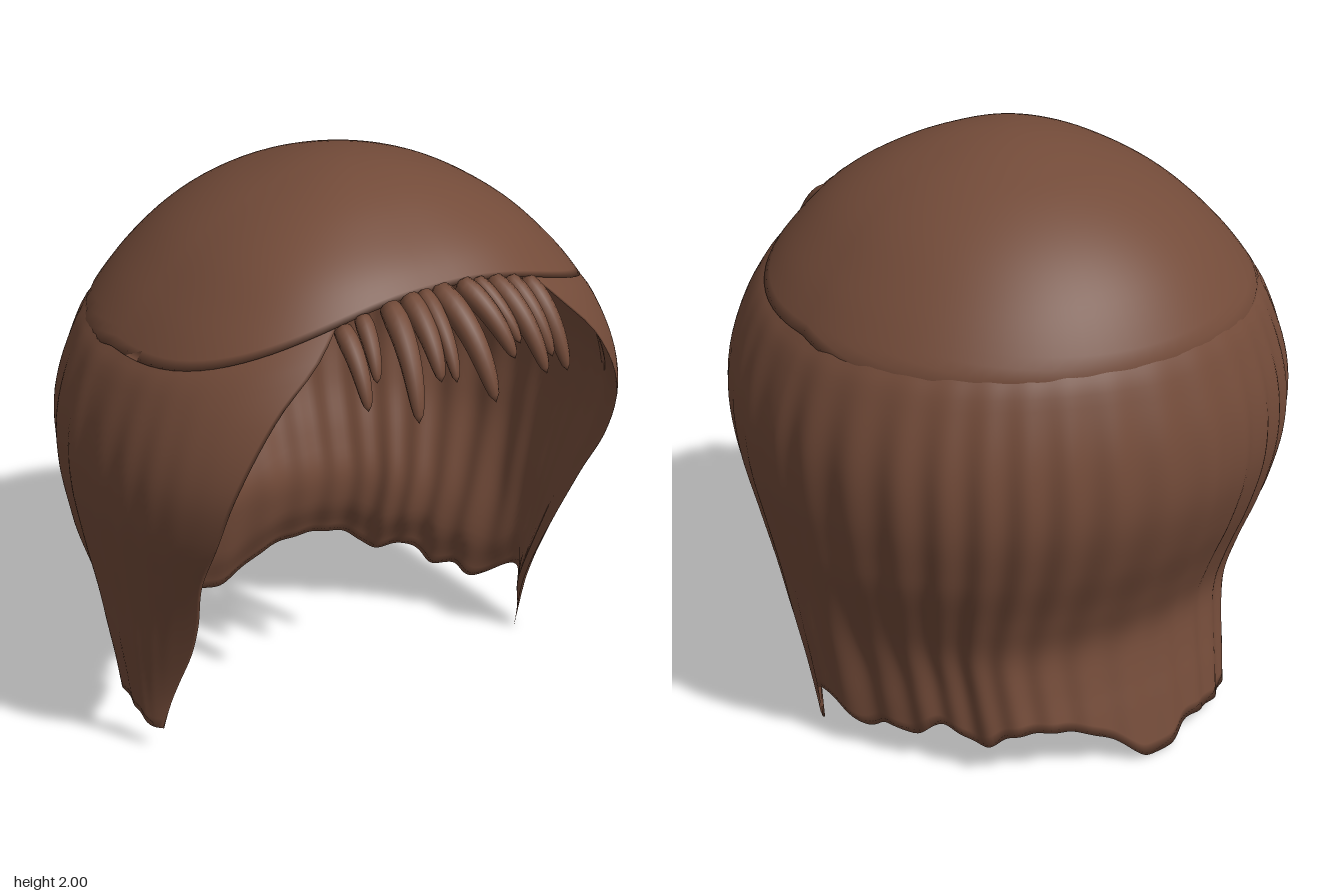
import * as THREE from 'three';
import { mergeVertices } from 'three/addons/utils/BufferGeometryUtils.js';

// Head form per height: y, half width, back depth, front depth, half width of the face opening
const FORM = [
  [2.0, 0, 0, 0, 0], [1.95, 0.27, 0.28, 0.27, 0.1], [1.9, 0.39, 0.41, 0.38, 0.16], [1.8, 0.55, 0.57, 0.54, 0.27],
  [1.7, 0.66, 0.67, 0.64, 0.36], [1.6, 0.75, 0.735, 0.72, 0.45], [1.45, 0.85, 0.8, 0.81, 0.6],
  [1.2, 0.935, 0.87, 0.84, 0.73], [1.0, 0.94, 0.87, 0.76, 0.755], [0.8, 0.91, 0.81, 0.62, 0.75],
  [0.6, 0.875, 0.72, 0.49, 0.72], [0.45, 0.855, 0.67, 0.39, 0.71], [0.3, 0.83, 0.69, 0.3, 0.72],
  [0.2, 0.815, 0.715, 0.25, 0.73], [0, 0.785, 0.76, 0.2, 0.75],
];
// Ragged hem: angle from the front round the model's left, and height
const HEM = [
  [1.2, 0], [1.35, 0.03], [1.57, 0.12], [1.7, 0.2], [1.85, 0.1], [1.98, 0.13], [2.1, 0.11], [2.28, 0.17], [2.45, 0.12],
  [2.6, 0.17], [2.85, 0.16], [3.0, 0.1], [3.14, 0.01], [3.27, 0.01], [3.4, 0.06], [3.55, 0.05], [3.8, 0.06],
  [4.0, 0.12], [4.15, 0.17], [4.35, 0.14], [4.55, 0.19], [4.75, 0.15], [4.92, 0.1], [5.083, 0.09],
];

const spline = (keys, rows) => {
  const curve = new THREE.CubicInterpolant(keys, rows.flat(), rows[0].length, new Float32Array(rows[0].length));
  return (t) => Array.from(curve.evaluate(t));
};
const formAt = spline(FORM.map((r) => Math.sqrt(2 - r[0])), FORM.map((r) => r.slice(1)));
const hemAt = spline(HEM.map((h) => (h[0] - 1.2) / 3.883), HEM.map((h) => [h[1]]));
const form = (y) => formAt(Math.sqrt(Math.max(0, 2 - y)));
const { lerp, smoothstep } = THREE.MathUtils;

// Point on the head form, moved inward by depth; squarer at the front than at the back
function headPoint(phi, y, depth) {
  const [a, back, front] = form(y);
  const s = Math.sin(phi), c = Math.cos(phi), k = 1 - depth / 0.9;
  const e = c > 0 ? 0.8 : 1;
  const x = a * Math.sign(s) * Math.abs(s) ** e;
  const z = (c > 0 ? front : -back) * Math.abs(c) ** e + 0.07 * Math.max(0, (y - 1.5) / 0.5);
  return [x * k, y > 1.2 ? 1.2 + (y - 1.2) * k : y, z * k];
}

// Smooth surface over a grid of u, v in 0..1
function surface(nu, nv, point) {
  const pos = [], index = [];
  for (let i = 0; i <= nu; i++) for (let j = 0; j <= nv; j++) pos.push(...point(i / nu, j / nv));
  for (let i = 0; i < nu; i++) for (let j = 0; j < nv; j++) {
    const a = i * (nv + 1) + j, b = a + nv + 1;
    index.push(a, a + 1, b, b, a + 1, b + 1);
  }
  const geo = new THREE.BufferGeometry();
  geo.setAttribute('position', new THREE.Float32BufferAttribute(pos, 3));
  geo.setIndex(index);
  const smooth = mergeVertices(geo, 1e-5);
  smooth.computeVertexNormals();
  return smooth;
}

// Cap edge height: high over the forehead, level at the sides and back
const rim = (phi) => 1.5 + 0.24 * Math.max(0, Math.cos(phi)) ** 2;

// Cap: outer dome to the rim, then back up the inside
function capPoint(u, v) {
  const phi = u * Math.PI * 2;
  const t = v < 0.5 ? v * 2 : 2 - v * 2;
  const low = rim(phi) - 0.15 * Math.max(0, -Math.cos(phi));
  const y = 2 - (2 - low) * t * t;
  const tuck = 0.03 * smoothstep(1.5 - y, 0, 0.08);
  const lip = 0.05 * smoothstep(1 - t, 0, 0.15);
  return headPoint(phi, y, v < 0.5 ? tuck : tuck + lip);
}

// Hanging hair: outside down to the hem, then back up the inside
function curtainPoint(u, v) {
  const t = v < 0.5 ? v * 2 : 2 - v * 2;
  const top = rim(lerp(0.5, Math.PI * 2 - 0.5, u)) + 0.04;
  const y = lerp(top, hemAt(u)[0], t);
  const [a, , , open] = form(y);
  const edge = Math.asin(Math.min(0.985, open / a) ** 1.25);
  const phi = lerp(edge, Math.PI * 2 - edge, u);
  const side = Math.min(u, 1 - u);
  // Locks, a hollow behind each front lock, and the top tucked under the cap
  const locks = 0.007 * Math.sin(phi * 38 + 1.5 * Math.sin(phi * 5)) * smoothstep(1.6 - y, 0, 0.5) * smoothstep(side, 0, 0.22);
  const around = Math.min(phi, Math.PI * 2 - phi);
  const hollow = 0.075 * Math.exp(-(((around - 2.1) / 0.36) ** 4)) * smoothstep(0.8 - y, 0, 0.5);
  const tuck = 0.016 * (1 - smoothstep(t, 0, 0.07));
  const thick = 0.04 * smoothstep(side, 0, 0.04) * smoothstep(1 - t, 0, 0.12);
  return headPoint(phi, y, locks + hollow + tuck - 0.003 + (v < 0.5 ? 0 : thick));
}

// Fringe strand: a bent tube narrowed to a blunt tip
function strandGeometry(rootX, tipX, tipY, tipZ, width) {
  const rootY = 1.745 - 0.5 * rootX * rootX;
  const root = new THREE.Vector3(rootX, rootY, 0.62 - 0.15 * rootX * rootX);
  const tip = new THREE.Vector3(tipX, tipY, tipZ);
  const bend = new THREE.Vector3(lerp(rootX, tipX, 0.5), rootY - 0.06, lerp(root.z, tipZ, 0.72));
  const curve = new THREE.QuadraticBezierCurve3(root, bend, tip);
  const rings = 16, sides = 10;
  const geo = new THREE.TubeGeometry(curve, rings, width, sides);
  const pos = geo.attributes.position, p = new THREE.Vector3();
  for (let i = 0; i <= rings; i++) {
    const t = i / rings, c = curve.getPointAt(t);
    const k = i ? Math.min(1, 0.8 + t) * (1 - 0.55 * t * t) * Math.sqrt(Math.max(0, 1 - t ** 12)) : 0;
    for (let j = 0; j <= sides; j++) {
      const n = i * (sides + 1) + j;
      p.fromBufferAttribute(pos, n).sub(c).multiplyScalar(k).add(c);
      pos.setXYZ(n, p.x, p.y, p.z);
    }
  }
  geo.deleteAttribute('uv');
  geo.deleteAttribute('normal');
  const smooth = mergeVertices(geo, 1e-5);
  smooth.computeVertexNormals();
  return smooth;
}

export function createModel() {
  const group = new THREE.Group();
  const brown = new THREE.MeshStandardMaterial({ color: 0x734b39 });
  brown.name = 'brown';
  const add = (name, geo, parent = group) => {
    const mesh = new THREE.Mesh(geo, brown);
    mesh.name = name;
    parent.add(mesh);
  };

  add('cap', surface(96, 64, capPoint));
  add('hangingHair', surface(260, 80, curtainPoint));

  // Fringe: root x, tip x, tip y, tip z, half thickness
  const fringe = new THREE.Group();
  fringe.name = 'fringe';
  group.add(fringe);
  [
    [-0.35, -0.36, 1.47, 0.78, 0.034], [-0.28, -0.31, 1.54, 0.75, 0.03], [-0.19, -0.23, 1.43, 0.86, 0.04],
    [-0.12, -0.13, 1.53, 0.83, 0.038], [-0.07, -0.08, 1.52, 0.84, 0.032], [-0.02, 0.04, 1.44, 0.88, 0.043],
    [0.07, 0.16, 1.53, 0.81, 0.038], [0.13, 0.2, 1.56, 0.78, 0.03], [0.19, 0.27, 1.46, 0.83, 0.038],
    [0.26, 0.32, 1.49, 0.79, 0.034], [0.33, 0.39, 1.42, 0.78, 0.036],
  ].forEach((s, i) => add('fringeStrand' + (i + 1), strandGeometry(...s), fringe));

  return group;
}
